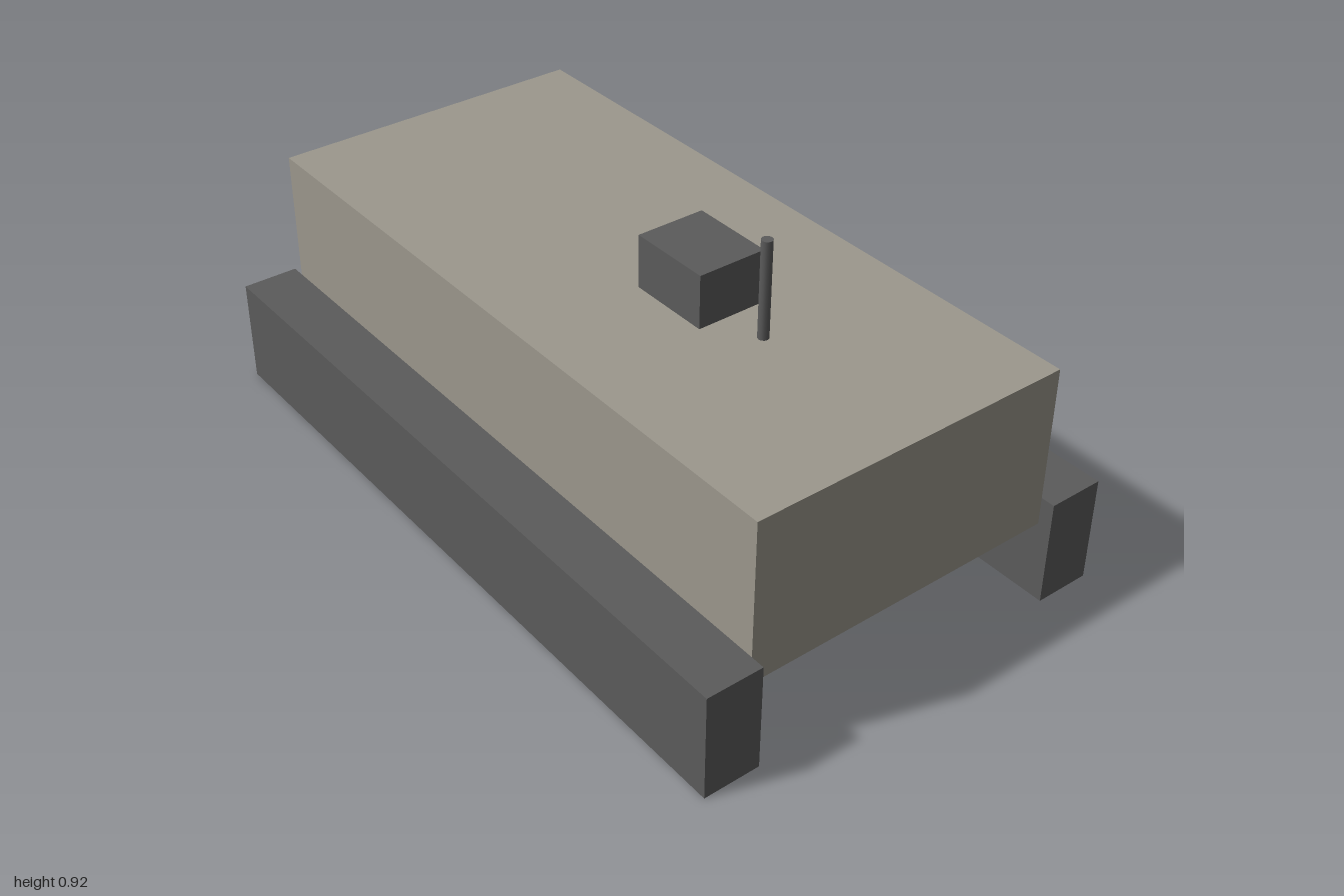
import * as THREE from 'three';

export function createModel() {
  const group = new THREE.Group();
  const hullPaint = new THREE.MeshStandardMaterial({ color: 0x9c988d });
  hullPaint.name = 'hull grey';
  const darkPaint = new THREE.MeshStandardMaterial({ color: 0x5b5b5b });
  darkPaint.name = 'dark grey';

  const add = (name, geometry, material, x, y, z) => {
    const mesh = new THREE.Mesh(geometry, material);
    mesh.name = name;
    mesh.position.set(x, y, z);
    group.add(mesh);
  };
  // Box given by its centre x and z, its bottom y and its size
  const addBox = (name, material, [w, h, d], x, bottom, z) =>
    add(name, new THREE.BoxGeometry(w, h, d), material, x, bottom + h / 2, z);

  // Hull and rear ramp
  addBox('hull', hullPaint, [0.884, 0.44, 1.924], 0, 0.214, 0);
  addBox('rearRamp', hullPaint, [0.462, 0.345, 0.022], 0, 0.185, -0.972);

  // Tracks along both sides
  for (const [side, name] of [[1, 'leftTrack'], [-1, 'rightTrack']]) {
    addBox(name, darkPaint, [0.153, 0.29, 2], side * 0.5185, 0, 0);
  }

  // Roof box and the mast in front of it
  addBox('roofBox', darkPaint, [0.19, 0.145, 0.23], 0, 0.653, 0.231);
  add('mast', new THREE.CylinderGeometry(0.0145, 0.0145, 0.262, 12), darkPaint, 0, 0.784, 0.461);

  return group;
}
